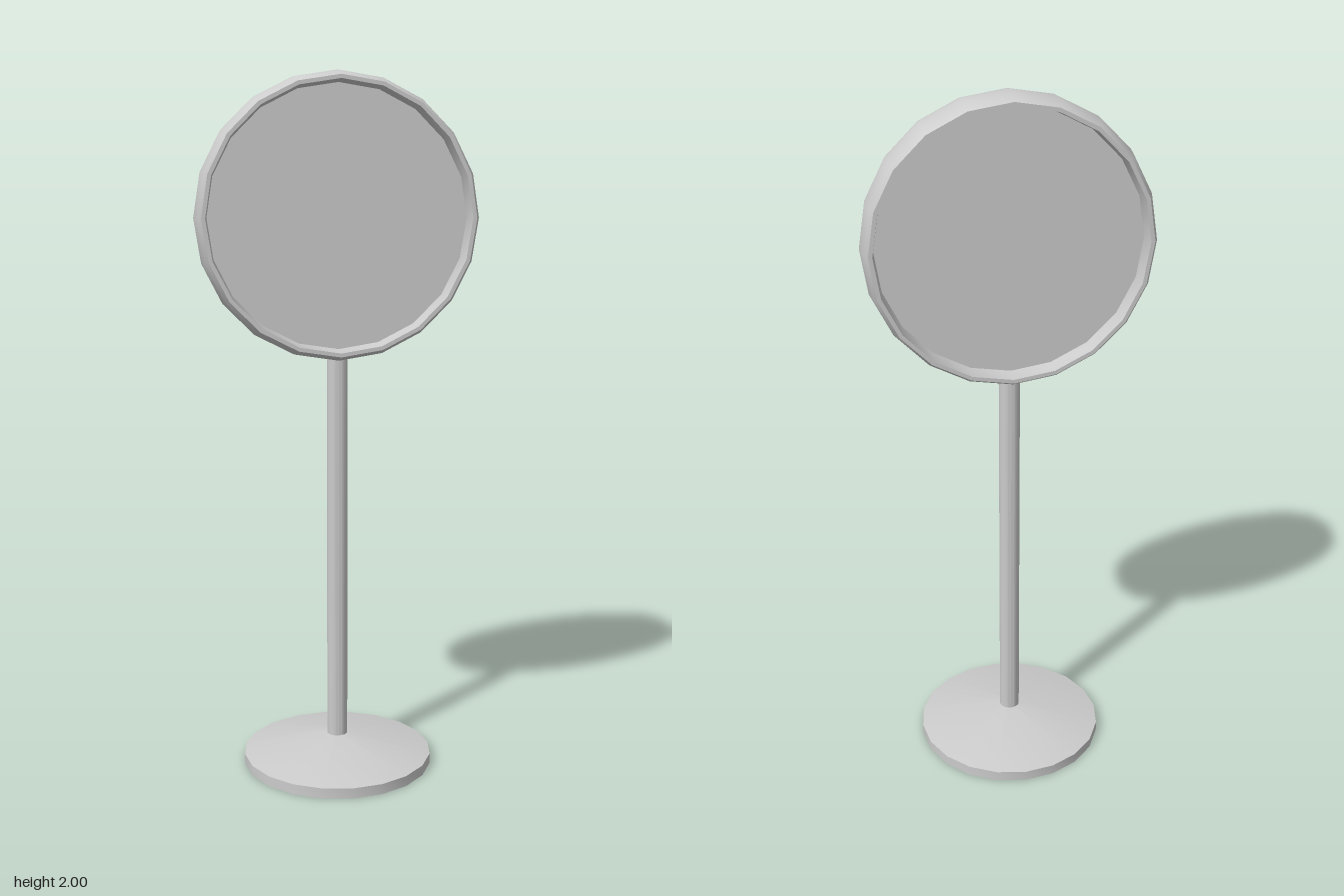
import * as THREE from 'three';
import { toCreasedNormals } from 'three/addons/utils/BufferGeometryUtils.js';

const SIDES = 20;
const material = new THREE.MeshStandardMaterial({ color: 0xcccccc });

function addPart(parent, name, geometry, y = 0) {
  const mesh = new THREE.Mesh(toCreasedNormals(geometry, 0.6), material);
  mesh.name = name;
  mesh.position.y = y;
  parent.add(mesh);
  return mesh;
}

const lathe = (profile) =>
  new THREE.LatheGeometry(profile.map(([r, y]) => new THREE.Vector2(r, y)), SIDES);

export function createModel() {
  const model = new THREE.Group();
  model.name = 'standMirror';

  // Flat foot with a shallow conical top
  addPart(model, 'base', lathe([[0, 0], [0.277, 0], [0.277, 0.03], [0.03, 0.082], [0, 0.082]]));

  // Slim pole, reaching just into the frame
  addPart(model, 'pole', new THREE.CylinderGeometry(0.03, 0.03, 1.14, SIDES), 0.64);

  // Round head facing front and back
  const head = new THREE.Group();
  head.name = 'head';
  head.position.y = 1.6;
  head.rotation.x = Math.PI / 2;
  model.add(head);

  // Frame: bulging outside, thin lip, inner walls down to the glass
  addPart(head, 'frame', lathe([
    [0.365, -0.02], [0.372, -0.071], [0.383, -0.071], [0.391, -0.058], [0.397, -0.032],
    [0.4, 0],
    [0.397, 0.032], [0.391, 0.058], [0.383, 0.071], [0.372, 0.071], [0.365, 0.02],
  ]));

  // Recessed double-sided glass
  addPart(head, 'glass', new THREE.CylinderGeometry(0.368, 0.368, 0.044, SIDES));

  return model;
}
